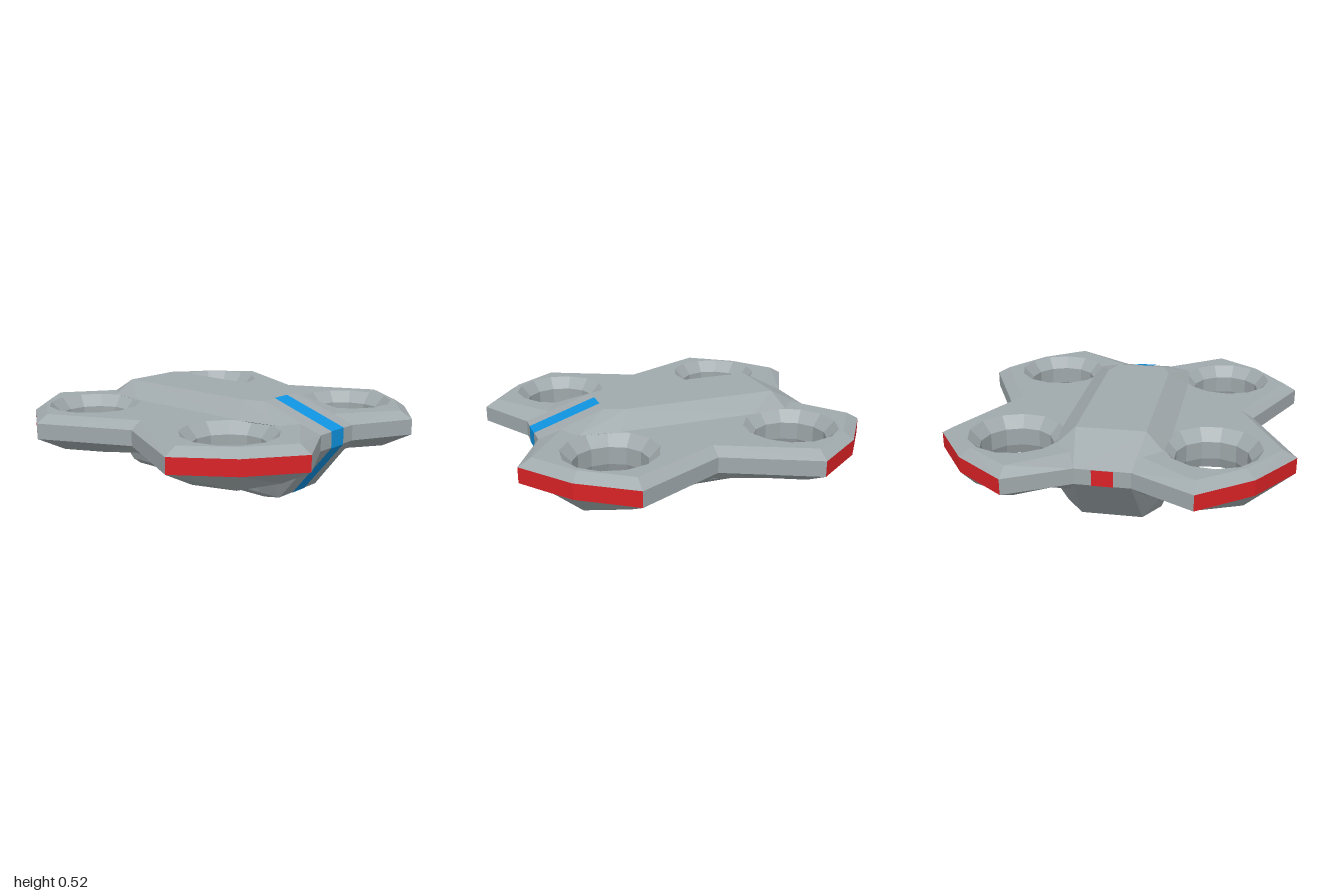
import * as THREE from 'three';
import { ConvexGeometry } from 'three/addons/geometries/ConvexGeometry.js';

const mat = (name, color) => new THREE.MeshStandardMaterial({ name, color, flatShading: true });

// Collects flat faces; sx and sz mirror them, keeping the winding outward
function faceBuilder() {
  const pos = [];
  const b = {
    sx: 1, sz: 1,
    tri(p, q, r) {
      const order = b.sx * b.sz > 0 ? [p, q, r] : [p, r, q];
      for (const v of order) pos.push(v[0] * b.sx, v[1], v[2] * b.sz);
    },
    quad(p, q, r, s) { b.tri(p, q, r); b.tri(p, r, s); },
    // Wall between two matching rows of points
    wall(low, high, from = 0, to = low.length - 1) {
      for (let i = from; i < to; i++) b.quad(low[i], low[i + 1], high[i + 1], high[i]);
    },
    // Horizontal face with one hole
    flat(outline, hole, up) {
      const v2 = list => list.map(p => new THREE.Vector2(p[0], p[2]));
      const all = [...outline, ...hole];
      for (const [i, j, k] of THREE.ShapeUtils.triangulateShape(v2(outline), [v2(hole)])) {
        const [p, q, r] = [all[i], all[j], all[k]];
        const ny = (q[2] - p[2]) * (r[0] - p[0]) - (q[0] - p[0]) * (r[2] - p[2]);
        if ((ny > 0) === up) b.tri(p, q, r); else b.tri(p, r, q);
      }
    },
    geometry() {
      const g = new THREE.BufferGeometry();
      g.setAttribute('position', new THREE.Float32BufferAttribute(pos, 3));
      g.computeVertexNormals();
      return g;
    },
  };
  return b;
}

const at = (y, list) => list.map(([x, z]) => [x, y, z]);

// Thirteen-sided ring around the opening of one quarter
function ring(r, y) {
  const pts = [];
  for (let i = 0; i < 13; i++) {
    const a = i / 13 * Math.PI * 2;
    pts.push([0.537 + r * Math.cos(a), y, 0.525 + r * Math.sin(a)]);
  }
  return pts;
}

// Convex solid from points mirrored in x
function hull(points) {
  const v = [];
  for (const [x, y, z] of points) v.push(new THREE.Vector3(x, y, z), new THREE.Vector3(-x, y, z));
  return new ConvexGeometry(v);
}

export function createModel() {
  const group = new THREE.Group();
  const grey = mat('hull grey', 0xa0a9ac);
  const red = mat('edge red', 0xd92226);
  const blue = mat('stripe blue', 0x0f93e0);
  const add = (name, geometry, material) => {
    const m = new THREE.Mesh(geometry, material);
    m.name = name;
    group.add(m);
  };

  // Four-lobed plate, one quarter mirrored four times
  const rim = [[0, 0.82], [0.15, 0.82], [0.485, 1], [0.77, 0.79], [0.975, 0.5], [0.73, 0]];
  const rimLow = at(0.305, rim), rimHigh = at(0.393, rim);
  const top = at(0.435, [[0, 0.68], [0.14, 0.68], [0.48, 0.925], [0.72, 0.75], [0.9, 0.5], [0.66, 0]]);
  const base = at(0.21, [[0, 0.7], [0.3, 0.7], [0.48, 0.82], [0.715, 0.725], [0.79, 0.5], [0.68, 0.28]]);
  const valley = [0.69, 0.26, 0], centre = [0, 0.26, 0], inner = [0, 0.21, 0.28];
  const bores = [ring(0.225, 0.21), ring(0.205, 0.27), ring(0.205, 0.37), ring(0.265, 0.435)];
  const plate = faceBuilder(), edges = faceBuilder();
  for (const sx of [1, -1]) for (const sz of [1, -1]) {
    Object.assign(plate, { sx, sz });
    Object.assign(edges, { sx, sz });
    plate.flat([[0, 0.435, 0], ...top], bores[3], true);
    plate.wall(rimHigh, top);
    plate.wall(rimLow, rimHigh, 0, 2);
    plate.wall(rimLow, rimHigh, 4, 5);
    edges.wall(rimLow, rimHigh, 2, 4);
    plate.wall(base, rimLow);
    plate.flat([inner, ...base], bores[0], false);
    // Shallow valley between the lobes on the underside
    plate.tri(base[5], valley, rimLow[5]);
    plate.quad(base[5], inner, centre, valley);
    for (let k = 0; k < 3; k++) {
      plate.wall([...bores[k], bores[k][0]], [...bores[k + 1], bores[k + 1][0]]);
    }
  }
  add('plate', plate.geometry(), grey);
  add('cornerEdges', edges.geometry(), red);

  // Raised spine along the top
  const spine = [[0.145, 0.52, 0.44], [0.19, 0.52, 0.32], [0.19, 0.52, -0.58]];
  for (const s of [1, -1]) {
    spine.push([0.15, 0.393, 0.82 * s], [0.285, 0.437, 0.625 * s], [0.31, 0.433, 0.4 * s]);
  }
  add('spine', hull(spine), grey);

  // Keel tapering down to the ground
  const keel = [];
  for (const s of [1, -1]) {
    keel.push([0.15, 0.305, 0.82 * s], [0.31, 0.3, 0.66 * s], [0.325, 0.21, 0.58 * s],
      [0.265, 0.04, 0.5 * s], [0.17, 0, 0.57 * s], [0.21, 0, 0.5 * s]);
  }
  add('keel', hull(keel), grey);

  // Thin ribbons following the nose and the tail
  function ribbon(name, path, sz, material) {
    const b = faceBuilder(), w = 0.057;
    b.sz = sz;
    for (let i = 0; i + 1 < path.length; i++) {
      const [[z0, y0], [z1, y1]] = [path[i], path[i + 1]];
      b.quad([-w, y0, z0], [-w, y1, z1], [w, y1, z1], [w, y0, z0]);
    }
    add(name, b.geometry(), material);
  }
  ribbon('noseStripe', [[0.44, 0.524], [0.824, 0.397], [0.824, 0.303], [0.574, 0]], 1, blue);
  ribbon('tailMark', [[0.824, 0.393], [0.824, 0.305]], -1, red);

  return group;
}
